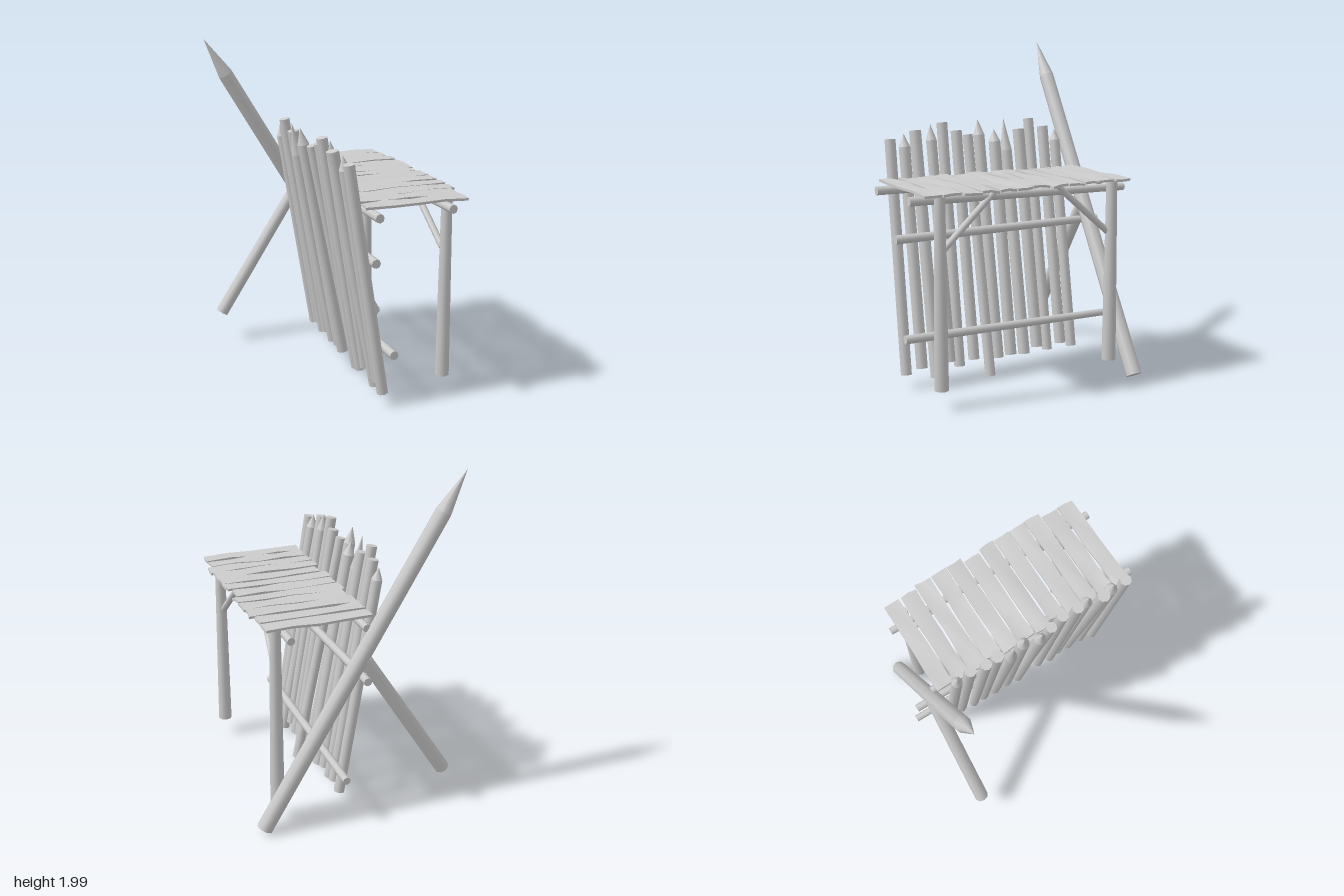
import * as THREE from 'three';
import { mergeGeometries } from 'three/addons/utils/BufferGeometryUtils.js';

const material = new THREE.MeshStandardMaterial({ color: 0xcccccc });
const UP = new THREE.Vector3(0, 1, 0);

// Repeatable noise in -1..1
const noise = (n) => {
  const s = Math.sin(n * 12.9898 + 4.137) * 43758.5453;
  return (s - Math.floor(s)) * 2 - 1;
};

// Round timber from a to b; tip is the length of a sharpened end
function log(name, a, b, r0, r1 = r0, tip = 0) {
  const start = new THREE.Vector3(...a);
  const dir = new THREE.Vector3(...b).sub(start);
  const length = dir.length();
  const shaft = length - tip;
  const parts = [new THREE.CylinderGeometry(r1, r0, shaft, 8, 1, tip > 0 ? true : false).translate(0, shaft / 2, 0)];
  if (tip > 0) {
    parts.push(new THREE.ConeGeometry(r1, tip, 8, 1, true).translate(0, shaft + tip / 2, 0));
    parts.push(new THREE.CircleGeometry(r0, 8).rotateX(Math.PI / 2));
  }
  const mesh = new THREE.Mesh(mergeGeometries(parts), material);
  mesh.name = name;
  mesh.position.copy(start);
  mesh.quaternion.setFromUnitVectors(UP, dir.normalize());
  return mesh;
}

// Rough, slightly warped deck board spanning x0..x1
function plank(x0, x1, z, width, seed) {
  const geo = new THREE.BoxGeometry(x1 - x0, 0.014, width, 4, 1, 2);
  const p = geo.attributes.position;
  for (let i = 0; i < p.count; i++) {
    const x = p.getX(i), y = p.getY(i), zz = p.getZ(i);
    const key = seed * 7.3 + Math.round(x * 50) * 1.7 + Math.sign(zz) * 3.1;
    p.setY(i, y + noise(key) * 0.006 - x * 0.01);
    p.setZ(i, zz + noise(key + 0.5) * 0.004 * Math.abs(Math.sign(zz)));
    if (Math.abs(x) > (x1 - x0) * 0.49) p.setX(i, x + noise(key + 0.9) * 0.006);
  }
  geo.computeVertexNormals();
  const mesh = new THREE.Mesh(geo, material);
  mesh.name = 'plank';
  mesh.position.set((x0 + x1) / 2, 1.22, z);
  return mesh;
}

export function createModel() {
  const model = new THREE.Group();
  model.name = 'palisadePlatform';

  // Leaning stakes: z, top y, bottom y, top x, bottom x, tip length
  const palisade = new THREE.Group();
  palisade.name = 'palisade';
  [
    [0.6, 1.45, 0.09, -0.165, 0.045, 0],
    [0.515, 1.48, 0.12, -0.165, 0.06, 0.08],
    [0.43, 1.49, 0.055, -0.19, 0.08, 0],
    [0.342, 1.53, 0.13, -0.17, 0.06, 0.1],
    [0.257, 1.53, 0.09, -0.185, 0.055, 0],
    [0.172, 1.48, 0.12, -0.165, 0.06, 0],
    [0.088, 1.45, 0.015, -0.18, 0.108, 0],
    [0.0, 1.54, 0.1, -0.22, 0.05, 0.1],
    [-0.088, 1.48, 0.11, -0.175, 0.06, 0.08],
    [-0.175, 1.54, 0.1, -0.21, 0.06, 0.2],
    [-0.26, 1.47, 0.13, -0.17, 0.055, 0],
    [-0.345, 1.53, 0.1, -0.195, 0.055, 0],
    [-0.43, 1.48, 0.13, -0.165, 0.06, 0],
    [-0.515, 1.46, 0.1, -0.165, 0.06, 0.07],
  ].forEach(([z, yTop, yBottom, xTop, xBottom, tip], i) => {
    const r = 0.035 + 0.003 * noise(i);
    palisade.add(log('stake', [xBottom, yBottom, z + 0.012 * noise(i + 40)], [xTop, yTop, z], r, r, tip));
  });
  model.add(palisade);

  // Rails tying the stakes together
  model.add(log('upperRail', [-0.015, 0.885, 0.64], [-0.015, 0.895, -0.745], 0.027, 0.024));
  model.add(log('lowerRail', [0.103, 0.32, 0.64], [0.103, 0.3, -0.745], 0.027, 0.023));

  // Beams below the deck
  model.add(log('outerBeam', [0.4, 1.178, 0.735], [0.392, 1.158, -0.655], 0.026, 0.023));
  model.add(log('innerBeam', [-0.042, 1.175, 0.74], [-0.048, 1.165, -0.64], 0.026, 0.023));

  // Legs and diagonal braces
  [[0.575, 0.55, 0.22], [-0.54, -0.52, -0.19]].forEach(([z, braceLow, braceHigh]) => {
    model.add(log('leg', [0.447, 0.12, z], [0.444, 1.215, z], 0.043, 0.032));
    model.add(log('brace', [0.435, 0.905, braceLow], [0.405, 1.195, braceHigh], 0.02));
  });

  // Deck boards
  const deck = new THREE.Group();
  deck.name = 'deck';
  const leftEnds = [-0.09, -0.1, -0.1, -0.075, -0.1, -0.09, -0.1, -0.07, -0.095, -0.095, -0.1, -0.1];
  const rightEnds = [0.52, 0.52, 0.54, 0.54, 0.545, 0.52, 0.54, 0.54, 0.545, 0.55, 0.52, 0.52];
  leftEnds.forEach((x0, i) => deck.add(plank(x0, rightEnds[i], -0.566 + i * 0.11, 0.1, i + 1)));
  model.add(deck);

  // Large sharpened pole and its prop
  model.add(log('slantedPole', [0.56, 0.035, -0.648], [-0.605, 2.0, -0.648], 0.048, 0.046, 0.26));
  model.add(log('prop', [-0.545, 0.205, -0.648], [-0.035, 0.985, -0.648], 0.043, 0.039));

  return model;
}
